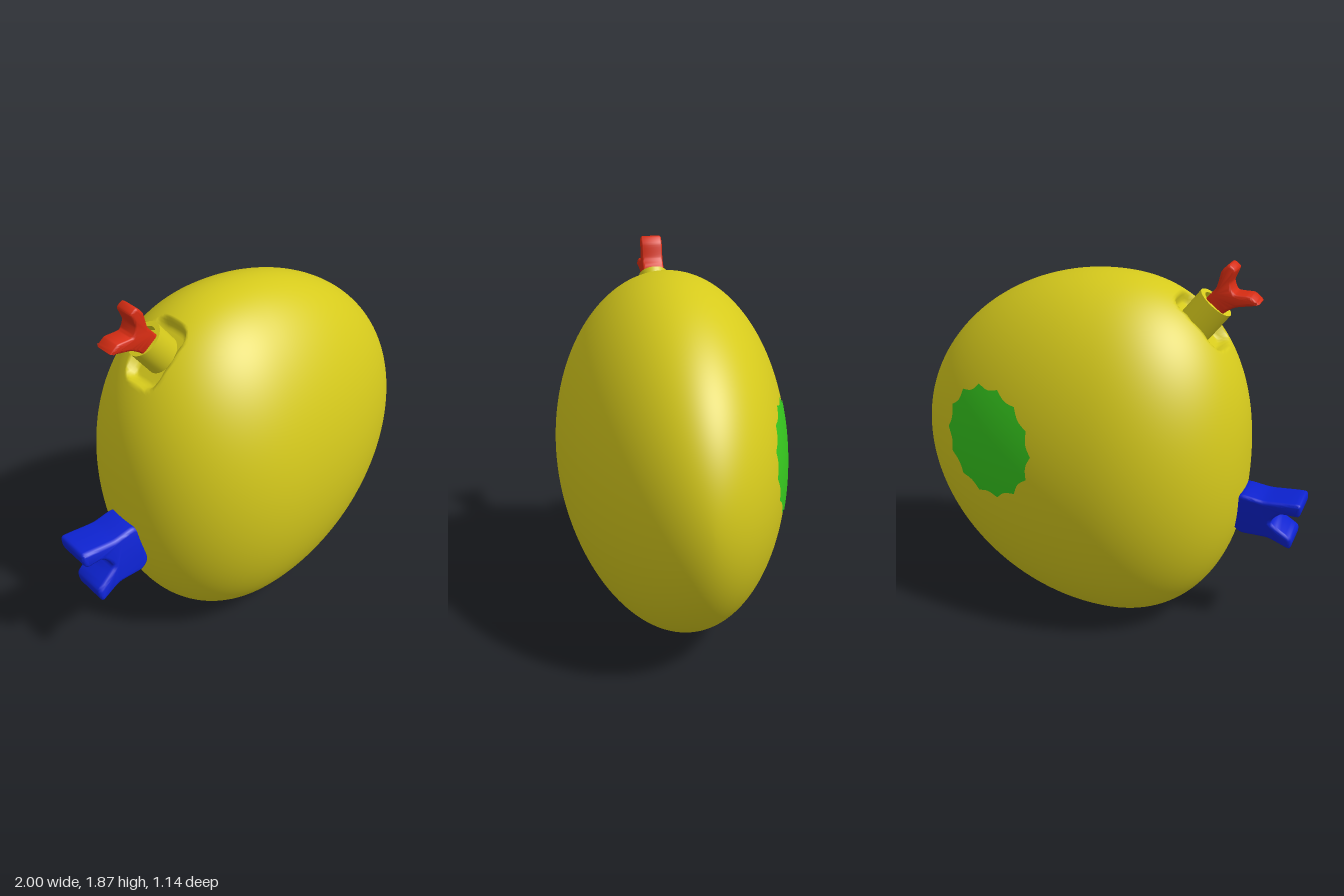
import * as THREE from 'three';
import { toCreasedNormals } from 'three/addons/utils/BufferGeometryUtils.js';

const MID = 0.893; // height of the body's long axis
const X0 = -0.71, X1 = 1;

// Half extent of the egg at x, with its own bluntness on each side of the peak
function egg(x, peak, max, pLeft, pRight) {
  const p = x < peak ? pLeft : pRight;
  const u = Math.min(1, Math.abs(x - peak) / (x < peak ? peak - X0 : X1 - peak));
  return max * Math.pow(1 - Math.pow(u, p), 1 / p);
}
const halfHeight = x => egg(x, 0, MID, 2.3, 1.93);
const halfDepth = x => egg(x, -0.1, 0.57, 2.15, 1.82);

// Closed rings of points joined row by row
function loft(rows, cols, point) {
  const pos = [], index = [];
  for (let i = 0; i <= rows; i++) {
    for (let j = 0; j < cols; j++) pos.push(...point(i / rows, j / cols));
  }
  for (let i = 0; i < rows; i++) {
    for (let j = 0; j < cols; j++) {
      const k = (j + 1) % cols;
      const a = i * cols + j, b = i * cols + k;
      index.push(a, b, a + cols, b, b + cols, a + cols);
    }
  }
  const g = new THREE.BufferGeometry();
  g.setAttribute('position', new THREE.Float32BufferAttribute(pos, 3));
  g.setIndex(index);
  g.computeVertexNormals();
  return g;
}

// Body point, pressed down to a flat floor inside the rounded square recess
function bodyPoint(s, t) {
  const x = (X0 + X1) / 2 - (X1 - X0) / 2 * Math.cos(Math.PI * s);
  const a = t * Math.PI * 2;
  const y = MID + halfHeight(x) * Math.cos(a), z = halfDepth(x) * Math.sin(a);
  const out = (y - x) * Math.SQRT1_2, along = (x + y) * Math.SQRT1_2;
  const d = Math.pow(Math.abs((along - 0.795) / 0.16), 4) + Math.pow(Math.abs(z / 0.11), 4);
  const mask = out > 0 ? 1 - THREE.MathUtils.smoothstep(d, 0.45, 1.2) : 0;
  const push = Math.max(0, out - 1.405) * mask * Math.SQRT1_2;
  return [x + push, y - push, z];
}

// Scalloped disc lying on the back of the body
function patchPoint(s, t) {
  const scallop = 1 - 0.08 * Math.sin(Math.PI * ((t * 14) % 1));
  const r = s * scallop, a = t * Math.PI * 2;
  const x = 0.455 + 0.27 * r * Math.cos(a), y = 1.01 + 0.275 * r * Math.sin(a);
  const v = (y - MID) / halfHeight(x);
  return [x, y, -halfDepth(x) * Math.sqrt(1 - v * v) - 0.005];
}

// Rounded forked plug from a side outline
function fork(points, zMin, zMax, bevel) {
  const curve = new THREE.CatmullRomCurve3(
    points.map(([x, y]) => new THREE.Vector3(x, y, 0)), true, 'catmullrom', 0.3);
  const outline = curve.getPoints(points.length * 6).slice(0, -1);
  const shape = new THREE.Shape(outline.map(p => new THREE.Vector2(p.x, p.y)));
  const g = new THREE.ExtrudeGeometry(shape, {
    depth: zMax - zMin - 2 * bevel, steps: 1, bevelEnabled: true,
    bevelThickness: bevel, bevelSize: bevel, bevelOffset: -bevel, bevelSegments: 4,
  });
  g.translate(0, 0, zMin + bevel);
  return g;
}

export function createModel() {
  const group = new THREE.Group();
  const add = (name, geometry, color) => {
    const mesh = new THREE.Mesh(geometry, new THREE.MeshStandardMaterial({ color }));
    mesh.name = name;
    group.add(mesh);
    return mesh;
  };
  const yellow = 0xd6ca1c;

  add('body', loft(190, 220, bodyPoint), yellow);
  add('backPatch', loft(12, 112, patchPoint), 0x36c81e);

  // Collar standing in the recess
  const profile = [[0.09, 0], [0.09, 0.165], [0.065, 0.165], [0.065, 0.13], [0, 0.13]];
  const collar = add('collar', toCreasedNormals(new THREE.LatheGeometry(
    profile.map(([r, y]) => new THREE.Vector2(r, y)), 32), 0.7), yellow);
  collar.scale.z = 0.82;
  collar.rotation.z = 0.67;
  collar.position.set(-0.418, 1.55, 0);

  // Forked plug in the collar
  add('topFork', toCreasedNormals(fork([
    [-0.42, 1.62], [-0.48, 1.7], [-0.53, 1.76], [-0.55, 1.835], [-0.585, 1.87], [-0.617, 1.845],
    [-0.595, 1.785], [-0.615, 1.74], [-0.69, 1.735], [-0.73, 1.70], [-0.70, 1.69],
    [-0.62, 1.675], [-0.565, 1.64], [-0.5, 1.56],
  ], -0.055, 0.055, 0.014), 0.8), 0xd62c12);

  // Larger forked plug on the side, its lower prong leaning to the front
  const side = fork([
    [-0.66, 0.73], [-0.71, 0.77], [-0.82, 0.755], [-0.985, 0.765], [-1, 0.73], [-0.985, 0.692],
    [-0.9, 0.69], [-0.855, 0.63], [-0.955, 0.55], [-0.945, 0.49],
    [-0.84, 0.535], [-0.71, 0.54], [-0.665, 0.58],
  ], -0.07, 0.125, 0.02);
  const p = side.attributes.position;
  for (let i = 0; i < p.count; i++) p.setZ(i, p.getZ(i) + (0.64 - p.getY(i)) * 0.22);
  add('sideFork', toCreasedNormals(side, 0.8), 0x0c22d0);

  return group;
}
